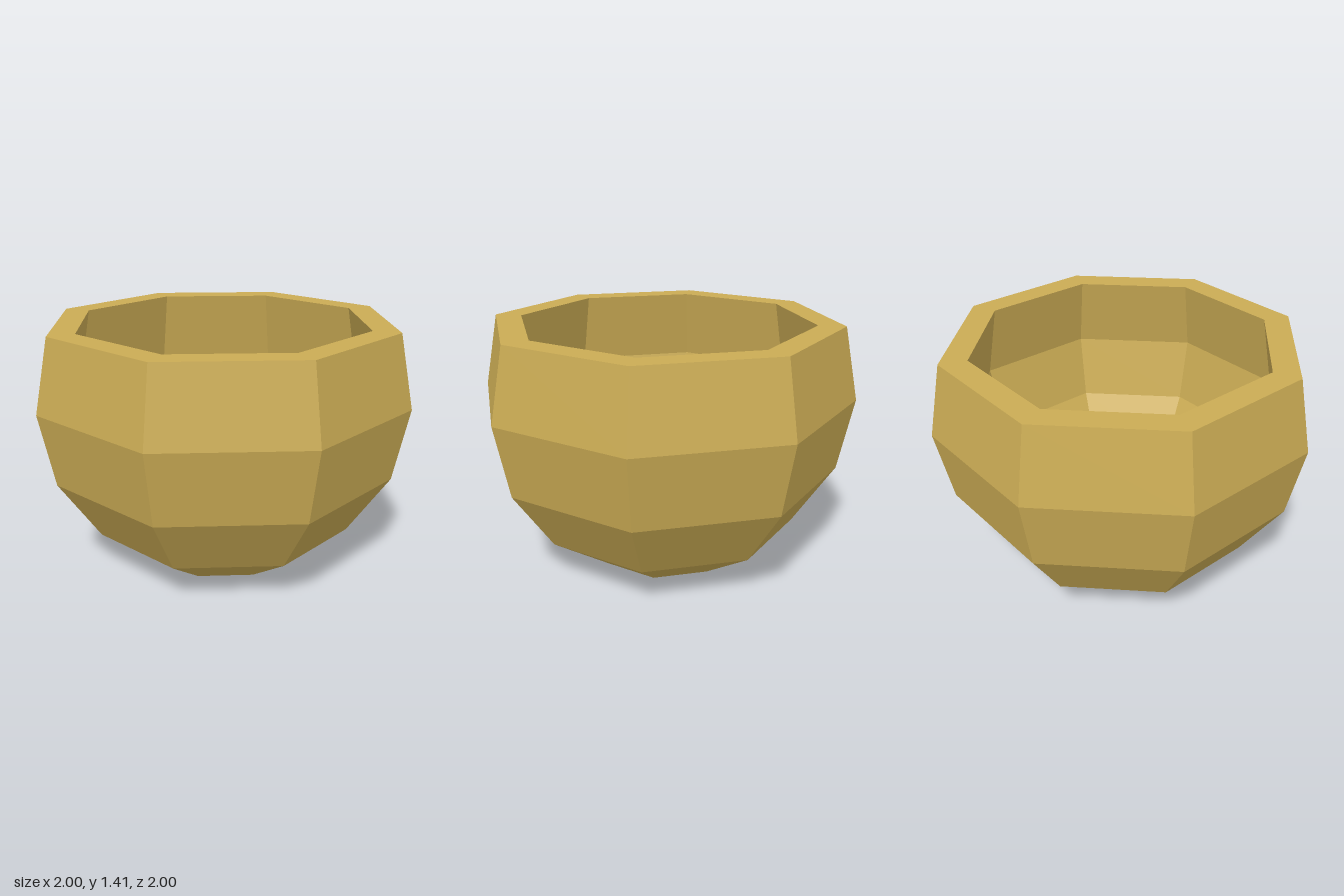
import * as THREE from 'three';

const SIDES = 8;

// Faceted solid of revolution; profile gives [distance to flat side, height]
function facetedLathe(profile) {
  const toCorner = 1 / Math.cos(Math.PI / SIDES);
  const points = profile.map(([r, y]) => new THREE.Vector2(r * toCorner, y));
  const geometry = new THREE.LatheGeometry(points, SIDES, Math.PI / SIDES).toNonIndexed();
  geometry.computeVertexNormals();
  return geometry;
}

export function createModel() {
  const ochre = new THREE.MeshStandardMaterial({ color: 0xcaab54 });
  ochre.name = 'ochre';

  const parts = {
    // Flat base and rounded outer wall
    outerWall: [[0, 0], [0.383, 0], [0.707, 0.235], [0.924, 0.586], [1, 1], [0.924, 1.414]],
    // Flat rim around the opening
    rim: [[0.924, 1.414], [0.782, 1.414]],
    // Hollow inside, bulging below the rim
    innerWall: [[0.782, 1.414], [0.857, 1], [0.772, 0.635], [0.58, 0.33]],
    floor: [[0.58, 0.33], [0, 0.33]],
  };

  const bowl = new THREE.Group();
  bowl.name = 'bowl';
  for (const [name, profile] of Object.entries(parts)) {
    const mesh = new THREE.Mesh(facetedLathe(profile), ochre);
    mesh.name = name;
    bowl.add(mesh);
  }
  return bowl;
}
